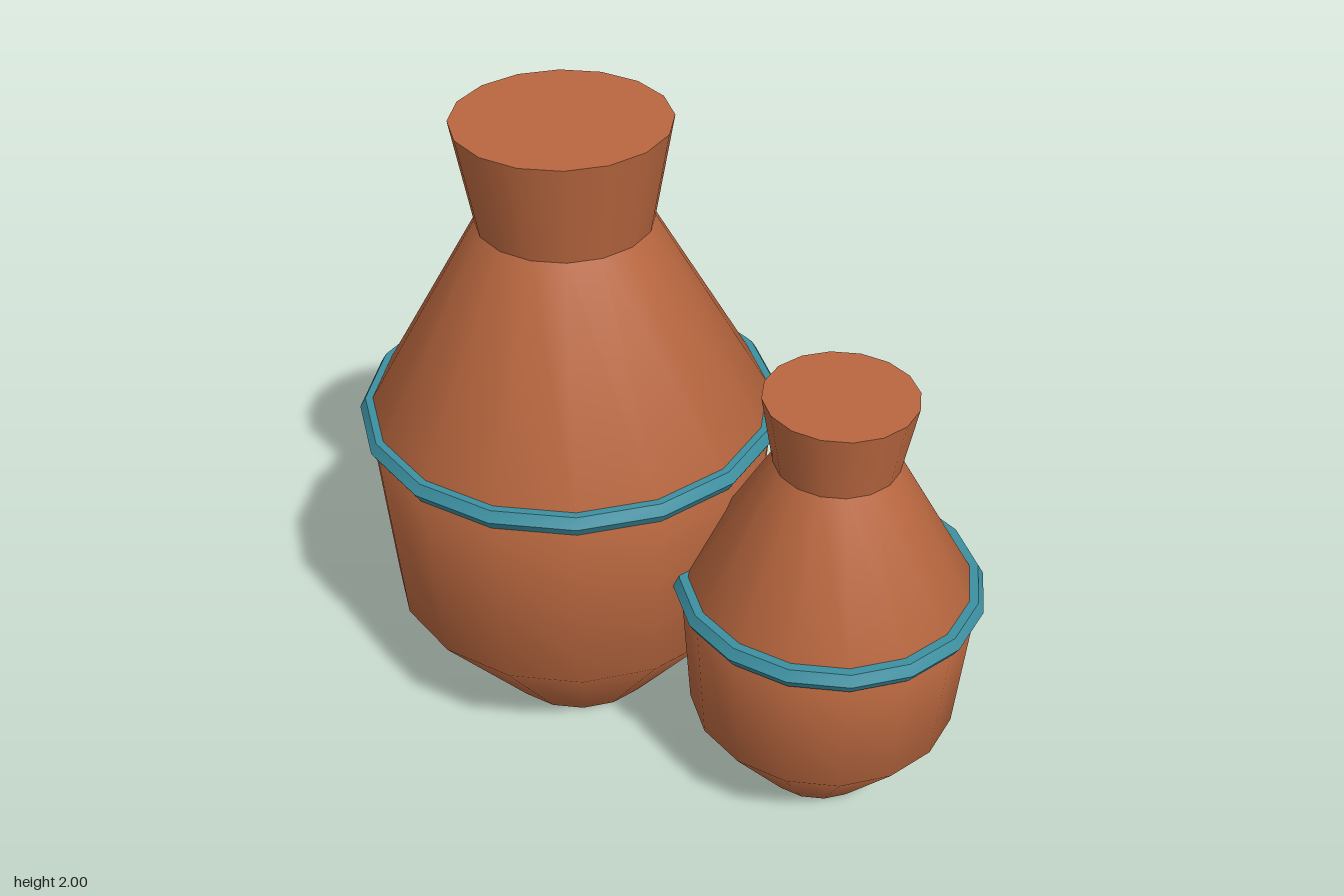
import * as THREE from 'three';
import { toCreasedNormals } from 'three/addons/utils/BufferGeometryUtils.js';

const SIDES = 16;

export function createModel() {
  const clay = new THREE.MeshStandardMaterial({ color: 0xb9673f });
  clay.name = 'terracotta';
  const glaze = new THREE.MeshStandardMaterial({ color: 0x3c8fa0 });
  glaze.name = 'teal glaze';

  const part = (parent, name, geometry, material, y = 0) => {
    const mesh = new THREE.Mesh(geometry, material);
    mesh.name = name;
    mesh.position.y = y;
    parent.add(mesh);
  };

  // One closed jar; s scales its size, the band keeps its thickness
  const makeJar = (name, s, x, z) => {
    const jar = new THREE.Group();
    jar.name = name;
    jar.position.set(x, 0, z);

    // Smooth belly and shoulder
    const profile = [[0.26, 0], [0.58, 0.42], [0.625, 1.05], [0.26, 1.69]]
      .map(([r, y]) => new THREE.Vector2(r * s, y * s));
    part(jar, 'body', new THREE.LatheGeometry(profile, SIDES), clay);

    // Flat foot
    part(jar, 'base', new THREE.CircleGeometry(0.26 * s, SIDES).rotateX(Math.PI / 2), clay);

    // Flared neck with a flat top
    part(jar, 'neck', new THREE.CylinderGeometry(0.315 * s, 0.26 * s, 0.31 * s, SIDES), clay, 1.845 * s);

    // Six-sided band around the widest point
    const band = new THREE.TorusGeometry(0.607 * s, 0.036, 6, SIDES).rotateX(Math.PI / 2);
    part(jar, 'band', toCreasedNormals(band, 0.6), glaze, 1.058 * s);
    return jar;
  };

  const model = new THREE.Group();
  model.name = 'jars';
  model.add(makeJar('largeJar', 1, -0.28, -0.175), makeJar('smallJar', 0.7, 0.457, 0.35));
  return model;
}
